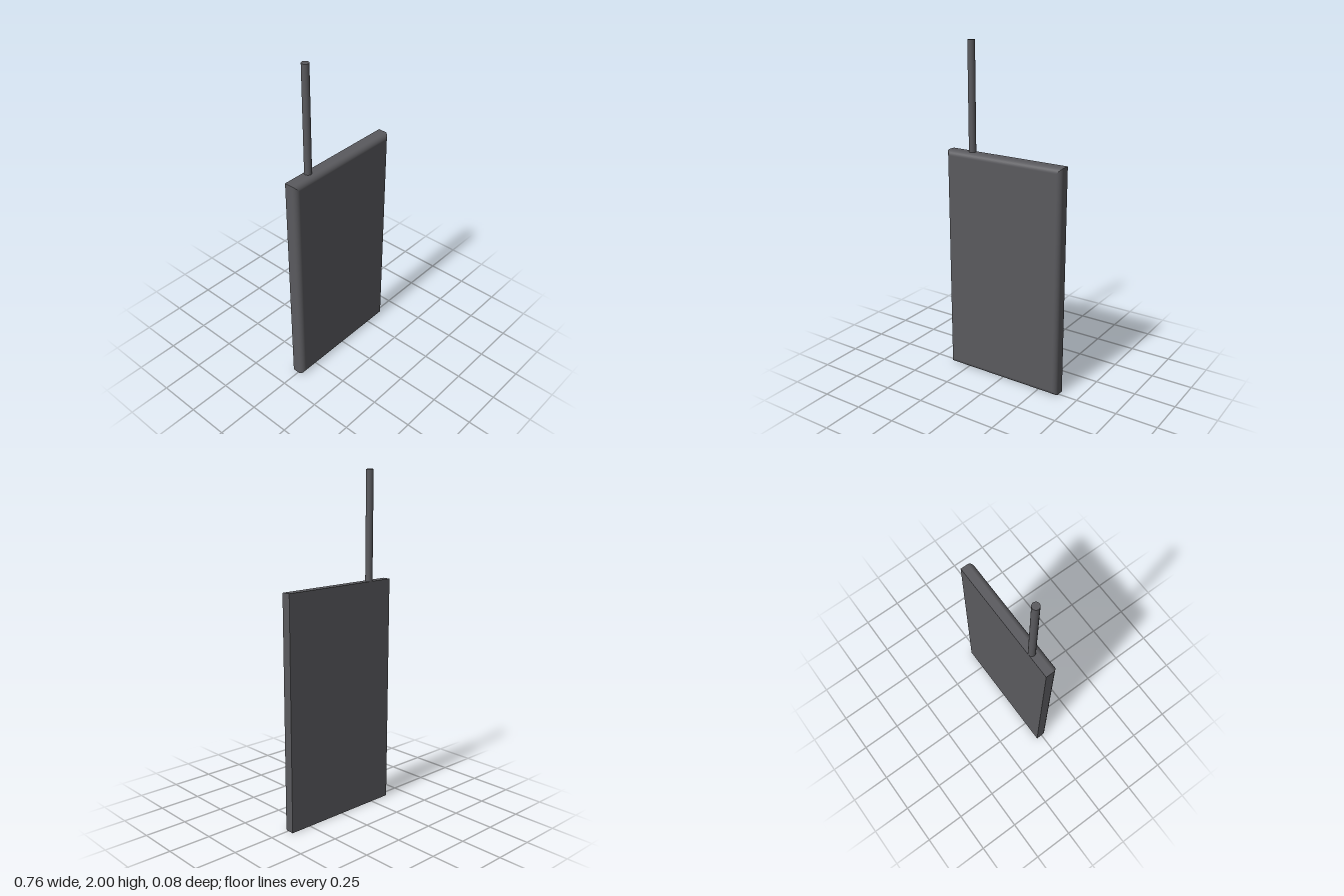
import * as THREE from 'three';

const W = 0.38, H = 1.37, BACK = -0.038, FRONT = 0.037, R = 0.03;

// Slab with a square back and a rounded, mitred front edge.
function slabGeometry() {
  const pos = [], nor = [];
  const quad = (a, b, c, d, n1, n2) => {
    pos.push(...a, ...b, ...c, ...a, ...c, ...d);
    nor.push(...n1, ...n1, ...n2, ...n1, ...n2, ...n2);
  };

  // Rectangular ring, anticlockwise from the front
  const ring = ({ inset: i, z }) => [
    [-W + i, i, z], [W - i, i, z], [W - i, H - i, z], [-W + i, H - i, z],
  ];
  const outward = [[0, -1], [1, 0], [0, 1], [-1, 0]];

  // Edge profile: straight wall, then a quarter round
  const profile = [{ inset: 0, z: BACK, angle: 0 }];
  const steps = 12;
  for (let i = 0; i <= steps; i++) {
    const angle = (i / steps) * Math.PI / 2;
    profile.push({
      inset: R * (1 - Math.cos(angle)),
      z: FRONT - R + R * Math.sin(angle),
      angle,
    });
  }

  // Four sides
  for (let p = 0; p < profile.length - 1; p++) {
    const lo = ring(profile[p]), hi = ring(profile[p + 1]);
    outward.forEach(([x, y], k) => {
      const normal = ({ angle }) => [x * Math.cos(angle), y * Math.cos(angle), Math.sin(angle)];
      const m = (k + 1) % 4;
      quad(lo[k], lo[m], hi[m], hi[k], normal(profile[p]), normal(profile[p + 1]));
    });
  }

  // Front and back faces
  const f = ring(profile[profile.length - 1]), b = ring(profile[0]);
  quad(f[0], f[1], f[2], f[3], [0, 0, 1], [0, 0, 1]);
  quad(b[1], b[0], b[3], b[2], [0, 0, -1], [0, 0, -1]);

  const g = new THREE.BufferGeometry();
  g.setAttribute('position', new THREE.Float32BufferAttribute(pos, 3));
  g.setAttribute('normal', new THREE.Float32BufferAttribute(nor, 3));
  return g;
}

export function createModel() {
  const group = new THREE.Group();
  const material = new THREE.MeshStandardMaterial({ color: 0x5a5a5e });

  const body = new THREE.Mesh(slabGeometry(), material);
  body.name = 'body';
  group.add(body);

  // Thin rod standing on the top edge, near the back
  const rodLength = 2 - H;
  const rod = new THREE.Mesh(new THREE.CylinderGeometry(0.021, 0.021, rodLength, 40), material);
  rod.name = 'rod';
  rod.position.set(-0.23, H + rodLength / 2, -0.017);
  group.add(rod);

  return group;
}
